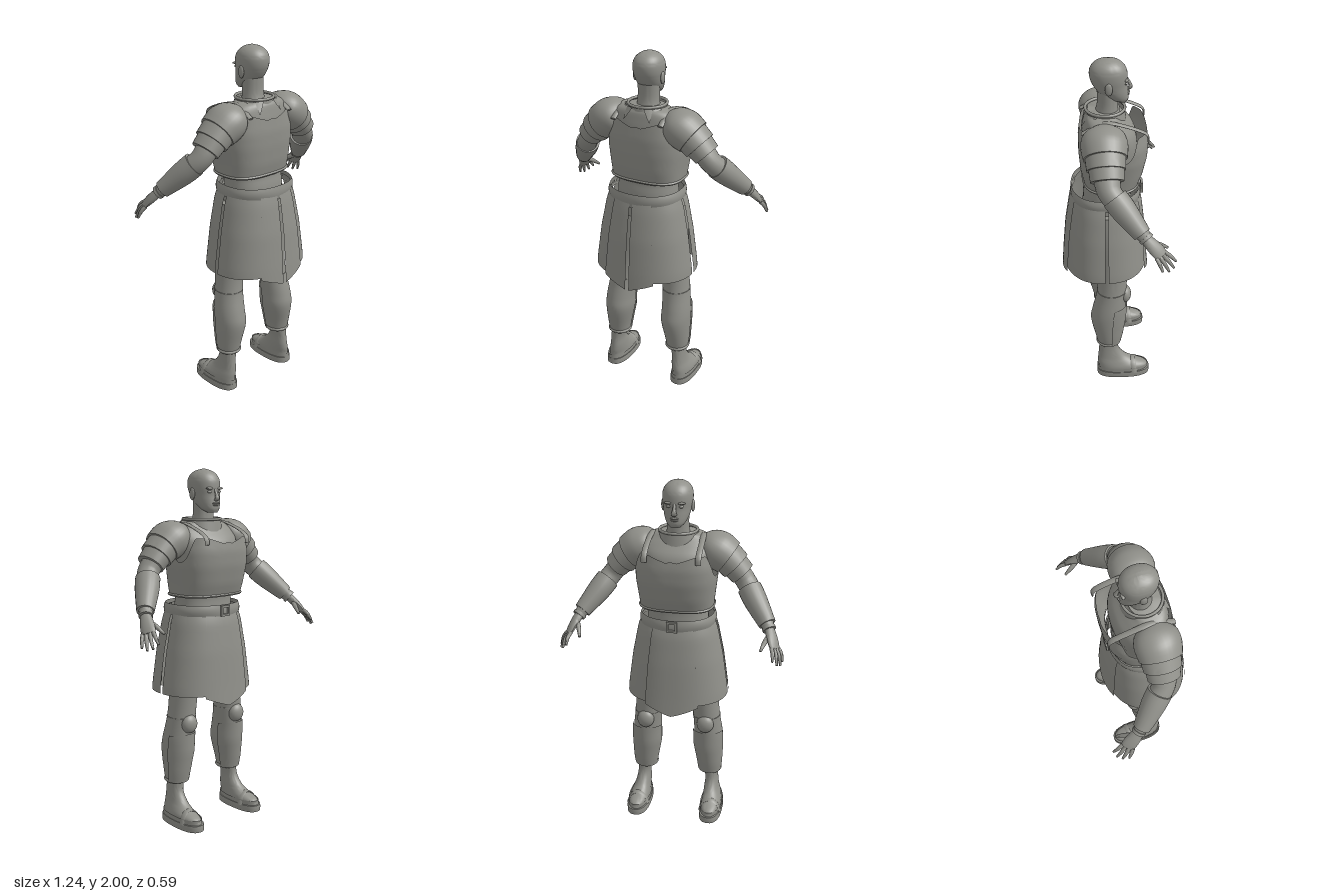
import * as THREE from 'three';
import { mergeVertices, toCreasedNormals } from 'three/addons/utils/BufferGeometryUtils.js';

const grey = new THREE.MeshStandardMaterial({ color: 0x90908a, side: THREE.DoubleSide });
grey.name = 'stone grey';

function add(parent, name, geometry) {
  const mesh = new THREE.Mesh(geometry, grey);
  mesh.name = name;
  parent.add(mesh);
  return mesh;
}

// Grid surface from f(u, v) -> [x, y, z]
function grid(nu, nv, f) {
  const pos = [], idx = [];
  for (let j = 0; j <= nv; j++) for (let i = 0; i <= nu; i++) pos.push(...f(i / nu, j / nv));
  for (let j = 0; j < nv; j++) for (let i = 0; i < nu; i++) {
    const a = j * (nu + 1) + i, b = a + nu + 1;
    idx.push(a, b, a + 1, a + 1, b, b + 1);
  }
  const g = new THREE.BufferGeometry();
  g.setAttribute('position', new THREE.Float32BufferAttribute(pos, 3));
  g.setIndex(idx);
  return toCreasedNormals(mergeVertices(g, 1e-5), 0.7);
}

// Catmull-Rom sample of number rows, t in 0..1
function at(rows, t) {
  const n = rows.length - 1, i = Math.min(Math.floor(t * n), n - 1), f = t * n - i;
  const r = k => rows[Math.max(0, Math.min(n, k))];
  return rows[0].map((_, c) => {
    const [a, b, d, e] = [r(i - 1)[c], r(i)[c], r(i + 1)[c], r(i + 2)[c]];
    return b + 0.5 * f * (d - a + f * (2 * a - 5 * b + 4 * d - e + f * (3 * (b - d) + e - a)));
  });
}

// Linear sample of rows ordered by rising height
function atHeight(rows, y) {
  let i = 0;
  while (i < rows.length - 2 && y > rows[i + 1][0]) i++;
  const f = (y - rows[i][0]) / (rows[i + 1][0] - rows[i][0]);
  return rows[i].map((v, c) => v + (rows[i + 1][c] - v) * f);
}

// Point on a horizontal ring [y, xCentre, rx, zBack, zFront]
function ringPoint([y, xc, rx, zb, zf], angle, p = 2, grow = 0) {
  const s = Math.sin(angle), c = Math.cos(angle), e = 2 / p;
  return [xc + (rx + grow) * Math.sign(s) * Math.abs(s) ** e, y,
    (zb + zf) / 2 + ((zb - zf) / 2 + grow) * Math.sign(c) * Math.abs(c) ** e];
}

// Closed solid through horizontal rings
function loft(rows, p = 2, sides = 36) {
  const nv = (rows.length - 1) * 4;
  return grid(sides, nv + 2, (u, v) => {
    const k = Math.round(v * (nv + 2)) - 1;
    const r = at(rows, Math.max(0, Math.min(1, k / nv)));
    if (k < 0 || k > nv) { r[2] = 0; r[3] = r[4] = (r[3] + r[4]) / 2; }
    return ringPoint(r, u * Math.PI * 2, p);
  });
}

// Closed limb along points [x, y, z, radiusAlongRef, radiusAcross]
function limb(rows, ref = [0, 0, 1], sides = 20) {
  const nv = (rows.length - 1) * 4, R = new THREE.Vector3(...ref);
  return grid(sides, nv + 2, (u, v) => {
    const k = Math.round(v * (nv + 2)) - 1, t = Math.max(0, Math.min(1, k / nv));
    const [x, y, z, a, b] = at(rows, t);
    const q = at(rows, Math.min(1, t + 0.02)), o = at(rows, Math.max(0, t - 0.02));
    const tan = new THREE.Vector3(q[0] - o[0], q[1] - o[1], q[2] - o[2]).normalize();
    const U = R.clone().addScaledVector(tan, -R.dot(tan)).normalize();
    const W = tan.clone().cross(U), cap = k < 0 || k > nv ? 0 : 1, g = u * Math.PI * 2;
    return new THREE.Vector3(x, y, z).addScaledVector(U, a * cap * Math.cos(g))
      .addScaledVector(W, b * cap * Math.sin(g)).toArray();
  });
}

function ball(parent, name, [x, y, z], [a, b, c]) {
  add(parent, name, new THREE.SphereGeometry(1, 20, 14).scale(a, b, c).translate(x, y, z));
}

function buildHead(root) {
  const head = new THREE.Group();
  head.name = 'head';
  add(head, 'neck', loft([[1.68, 0, .07, .1, -.035], [1.75, 0, .06, .08, -.03], [1.84, 0, .06, .08, -.03]]));
  add(head, 'skull', loft([[1.765, 0, .028, -.03, -.077], [1.785, 0, .05, .02, -.085], [1.82, 0, .067, .07, -.083],
    [1.86, 0, .076, .1, -.078], [1.9, 0, .082, .116, -.079], [1.94, 0, .08, .117, -.074],
    [1.97, 0, .066, .1, -.055], [1.99, 0, .04, .07, -.025], [2, 0, .008, .03, .01]], 2.1));
  add(head, 'nose', limb([[0, 1.89, -.076, .006, .007], [0, 1.86, -.09, .009, .01], [0, 1.842, -.094, .01, .016],
    [0, 1.832, -.082, .006, .012]]));
  ball(head, 'upperLip', [0, 1.815, -.082], [.024, .006, .009]);
  ball(head, 'lowerLip', [0, 1.805, -.081], [.02, .006, .009]);
  for (const s of [1, -1]) {
    ball(head, 'brow', [s * .034, 1.895, -.07], [.026, .007, .01]);
    ball(head, 'eye', [s * .033, 1.877, -.068], [.014, .008, .009]);
    ball(head, 'ear', [s * .081, 1.865, .022], [.01, .034, .02]);
  }
  root.add(head);
}

function buildTorso(root) {
  add(root, 'body', loft([[1.1, 0, .18, .17, -.11], [1.24, 0, .172, .16, -.1], [1.32, 0, .17, .15, -.1],
    [1.5, 0, .19, .165, -.13], [1.6, 0, .2, .165, -.12], [1.66, 0, .2, .155, -.075],
    [1.7, 0, .16, .145, -.04], [1.72, 0, .1, .13, -.04]], 2.3));

  // Breast and back plate, cut low under the arms
  const shell = [[1.31, 0, .203, .16, -.14], [1.38, 0, .21, .175, -.165], [1.48, 0, .222, .183, -.186],
    [1.56, 0, .222, .183, -.19], [1.66, 0, .2, .17, -.175]];
  add(root, 'cuirass', grid(96, 14, (u, v) => {
    const a = u * Math.PI * 2, s = Math.abs(Math.sin(a)), front = Math.cos(a) < 0;
    const x = .22 * s ** .72;
    let top = (front ? 1.595 : 1.615) + .04 * Math.min(1, x / .13) + .015 * Math.max(0, 1 - x / .03);
    top -= .13 * THREE.MathUtils.smoothstep(s, .8, 1);
    const low = 1.31 + .012 * Math.max(0, 1 - x / .2);
    return ringPoint(atHeight(shell, low + (top - low) * v), a, 2.8);
  }));
  add(root, 'cuirassHem', grid(64, 4, (u, v) =>
    ringPoint([1.308 + .016 * v, 0, .206, .163, -.143], u * Math.PI * 2, 2.8, .006 * Math.sin(v * Math.PI))));

  // Collar with a rolled rim and pointed leaves behind
  add(root, 'collar', grid(40, 5, (u, v) => ringPoint([1.655 + .075 * v, 0, .125 - .018 * v, .15 - .01 * v, -.075 + .012 * v],
    u * Math.PI * 2)));
  add(root, 'collarRim', new THREE.TorusGeometry(.104, .008, 8, 40).rotateX(Math.PI / 2).translate(0, 1.728, .038));
  for (const a of [-.95, -.5, .5, .95]) {
    add(root, 'collarLeaf', grid(6, 6, (u, v) => {
      const w = (u - .5) * .4 * (1 - v);
      return ringPoint([1.722 - .065 * v, 0, .115 + .045 * v, .15 + .03 * v, -.07], a + w);
    }));
  }
  for (const s of [1, -1]) {
    add(root, 'shoulderStrap', limb([[s * .145, 1.6, -.18, .016, .006], [s * .145, 1.645, -.165, .016, .006],
      [s * .145, 1.69, -.06, .016, .006], [s * .14, 1.708, .05, .016, .006], [s * .14, 1.65, .165, .016, .006]], [1, 0, 0], 8));
  }
}

function buildSkirt(root) {
  const flare = [[.69, 0, .296, .287, -.2], [.8, 0, .29, .28, -.19], [1, 0, .262, .262, -.175],
    [1.17, 0, .228, .235, -.155], [1.25, 0, .2, .215, -.13]];
  const panel = (name, from, to, grow, hem) => add(root, name, grid(20, 16, (u, v) => {
    const a = from + (to - from) * u, low = hem(Math.abs(Math.sin(a)) * .28);
    return ringPoint(atHeight(flare, low + (1.245 - low) * v), a, 2.3, grow);
  }));
  const H = Math.PI / 2;
  for (const s of [1, -1]) {
    panel('rearSidePanel', s * .36, s * (H - .025), 0, () => .765);
    panel('frontSidePanel', s * (H + .025), s * (2 * H - .36), 0, () => .765);
    panel('rearTab', s * .02, s * .48, .007, x => .7 + .055 * Math.min(1, x / .13));
    panel('frontTab', s * (2 * H), s * (2 * H - .48), .007, x => .7 + .055 * Math.min(1, x / .13));
  }
  add(root, 'belt', grid(56, 6, (u, v) => {
    const a = u * Math.PI * 2, dip = .02 * Math.max(0, 1 - Math.abs(Math.sin(a)) / .6);
    return ringPoint([1.205 + .06 * v - dip * (1 - v), 0, .213 - .008 * v, .228, -.15], a, 2.3, .006 * Math.sin(v * Math.PI));
  }));
  const frame = new THREE.Shape([[-.03, -.03], [.03, -.03], [.03, .03], [-.03, .03]].map(p => new THREE.Vector2(...p)));
  frame.holes.push(new THREE.Path([[-.018, -.018], [-.018, .018], [.018, .018], [.018, -.018]].map(p => new THREE.Vector2(...p))));
  add(root, 'buckle', new THREE.ExtrudeGeometry(frame, { depth: .012, bevelEnabled: false }).translate(0, 1.232, -.169));
}

function buildArm(side) {
  add(side, 'arm', limb([[.18, 1.63, .05, .08, .07], [.32, 1.52, .045, .072, .058], [.38, 1.45, .035, .062, .056],
    [.43, 1.385, -.025, .058, .056], [.49, 1.31, -.095, .046, .045], [.53, 1.255, -.145, .031, .029]]));
  // Layered shoulder armour
  add(side, 'pauldron', limb([[.125, 1.675, .05, .05, .035], [.165, 1.655, .05, .105, .08], [.215, 1.622, .052, .122, .104],
    [.275, 1.58, .05, .113, .098]], undefined, 32));
  add(side, 'upperLame', limb([[.255, 1.595, .05, .106, .09], [.315, 1.538, .048, .1, .086]], undefined, 32));
  add(side, 'lowerLame', limb([[.295, 1.557, .048, .093, .078], [.355, 1.495, .045, .086, .07]], undefined, 32));
  add(side, 'bracer', limb([[.4, 1.425, .01, .068, .066], [.44, 1.372, -.037, .066, .064], [.515, 1.278, -.122, .047, .047]]));
  add(side, 'wristBand', limb([[.522, 1.266, -.135, .038, .037], [.53, 1.255, -.146, .038, .037]]));
  // Hand
  const across = [.05, -.02, .07];
  add(side, 'palm', limb([[.528, 1.258, -.142, .03, .024], [.545, 1.228, -.172, .037, .022], [.558, 1.2, -.2, .04, .018],
    [.568, 1.178, -.219, .036, .013]], across, 16));
  const tips = [[.562, 1.135, -.294], [.587, 1.112, -.282], [.604, 1.102, -.256], [.613, 1.11, -.222]];
  tips.forEach(([x, y, z], i) => {
    const k = (i - 1.5) * .019, b = [.567 + k * .57, 1.182 - k * .23, -.214 + k * .8];
    add(side, 'finger', limb([[...b, .011, .011], [(b[0] + x) / 2 + .004, (b[1] + y) / 2 + .006, (b[2] + z) / 2, .0105, .0105],
      [x, y, z, .006, .006]], across, 10));
  });
  add(side, 'thumb', limb([[.535, 1.235, -.168, .016, .014], [.512, 1.208, -.212, .013, .013], [.495, 1.175, -.256, .007, .007]], across, 10));
}

function buildLeg(side) {
  const calf = [[.245, .197, .064, .1, -.033], [.3, .196, .071, .112, -.045], [.42, .187, .085, .137, -.064],
    [.5, .186, .084, .125, -.067], [.62, .175, .079, .098, -.072], [.76, .162, .079, .095, -.08],
    [1, .13, .1, .12, -.1], [1.15, .11, .1, .13, -.1]];
  add(side, 'leg', loft(calf));
  add(side, 'shinGuard', grid(20, 10, (u, v) => ringPoint(atHeight(calf, .25 + .275 * v + .02 * Math.sin(u * Math.PI) * (v - .5)),
    Math.PI + (u - .5) * 2.7, 2, .008)));
  add(side, 'greaveHem', grid(32, 4, (u, v) => ringPoint([.237 + .02 * v, .197, .066, .102, -.036], u * Math.PI * 2, 2,
    .006 * Math.sin(v * Math.PI))));
  ball(side, 'kneeCap', [.178, .592, -.064], [.05, .054, .036]);
  add(side, 'kneeStrap', loft([[.618, .175, .081, .1, -.075], [.626, .175, .081, .1, -.075]]));
  // Foot and sandal
  add(side, 'foot', loft([[.03, .222, .059, .097, -.205], [.065, .222, .057, .097, -.195], [.095, .218, .05, .1, -.12],
    [.13, .213, .043, .098, -.065], [.19, .21, .038, .092, -.025], [.27, .2, .045, .09, -.025]], 2.2));
  add(side, 'sole', loft([[0, .222, .068, .105, -.213], [.02, .222, .068, .105, -.214], [.038, .222, .067, .105, -.213]], 2.5));
  add(side, 'sandalStrap', limb([[.16, .03, -.12, .02, .006], [.18, .078, -.112, .02, .006], [.222, .1, -.108, .02, .006],
    [.264, .078, -.112, .02, .006], [.284, .03, -.12, .02, .006]], [0, 0, 1], 8));
  add(side, 'heelStrap', grid(32, 3, (u, v) => ringPoint([.035 + .03 * v, .222, .061, .102, -.2], u * Math.PI * 2, 2.2, .003)));
}

export function createModel() {
  const root = new THREE.Group();
  root.name = 'armouredFigure';
  buildHead(root);
  buildTorso(root);
  buildSkirt(root);
  for (const s of [1, -1]) {
    const side = new THREE.Group();
    side.name = s > 0 ? 'positiveSideLimbs' : 'negativeSideLimbs';
    buildArm(side);
    buildLeg(side);
    side.scale.x = s;
    root.add(side);
  }
  return root;
}
